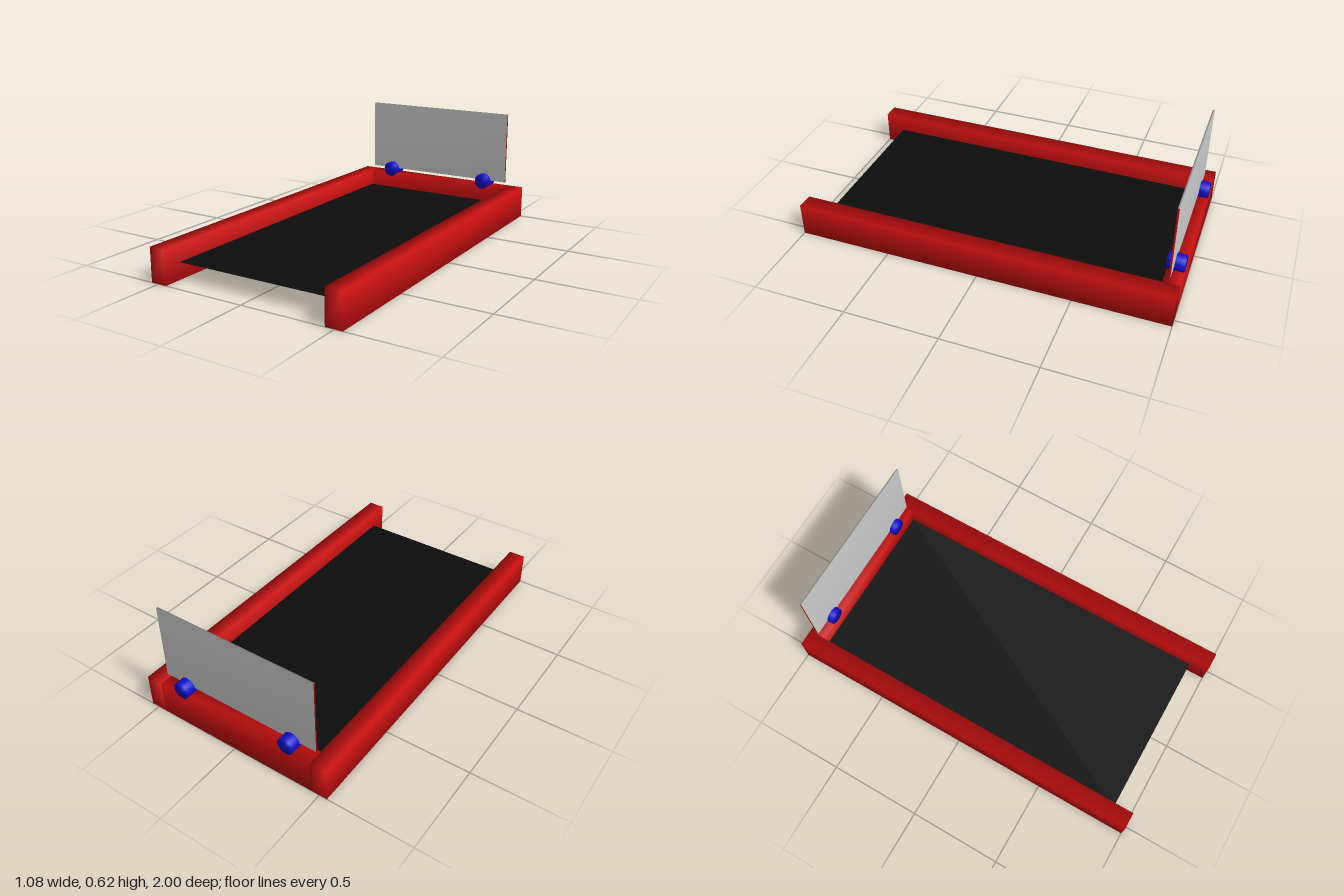
import * as THREE from 'three';
import { mergeVertices } from 'three/addons/utils/BufferGeometryUtils.js';

const mat = (color) => new THREE.MeshStandardMaterial({ color });

// Share corner vertices so the shading rolls softly over the edges
function soften(geometry) {
  geometry.deleteAttribute('normal');
  geometry.deleteAttribute('uv');
  const merged = mergeVertices(geometry);
  merged.computeVertexNormals();
  return merged;
}

export function createModel() {
  const model = new THREE.Group();
  const red = mat(0xcc1010);
  const blue = mat(0x1010cc);
  const black = mat(0x0d0d0d);
  black.side = THREE.DoubleSide;
  const grey = mat(0xcccccc);

  const add = (name, geometry, material, x, y, z) => {
    const mesh = new THREE.Mesh(geometry, material);
    mesh.name = name;
    mesh.position.set(x, y, z);
    model.add(mesh);
    return mesh;
  };
  const softBox = (w, h, d) => soften(new THREE.BoxGeometry(w, h, d));

  // Side rails and the rollers clamping the panel, mirrored left and right
  for (const [side, s] of [['left', 1], ['right', -1]]) {
    add(side + 'Rail', softBox(0.09, 0.18, 2), red, s * 0.497, 0.09, 0);
    const roller = soften(new THREE.CylinderGeometry(0.045, 0.045, 0.09, 32).rotateX(Math.PI / 2));
    add(side + 'Roller', roller, blue, s * 0.316, 0.205, -0.955);
  }

  // Bar joining the rails at the back
  add('backBar', softBox(0.904, 0.18, 0.085), red, 0, 0.09, -0.9575);

  // Thin deck halfway up the rails, open at the front
  add('deck', new THREE.PlaneGeometry(0.904, 1.808).rotateX(-Math.PI / 2), black, 0, 0.09, -0.004);

  // Upright panel with red side edges
  add('backPanel', softBox(0.904, 0.41, 0.01), [red, red, grey, grey, grey, grey], 0, 0.415, -0.945);

  return model;
}
